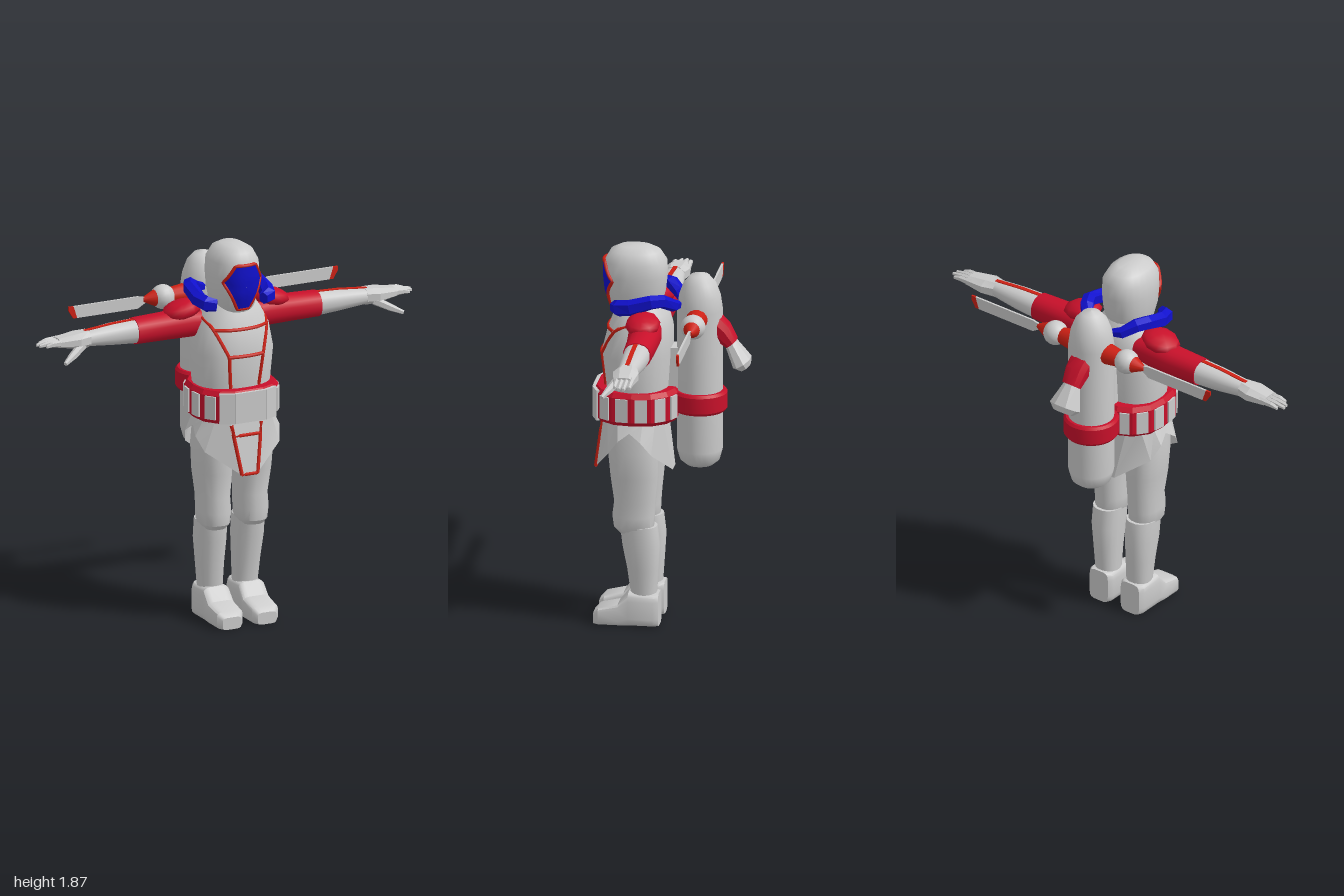
import * as THREE from 'three';
import { toCreasedNormals } from 'three/addons/utils/BufferGeometryUtils.js';

const GREY = 0xcccccc, RED = 0xc8102a, TRIM = 0xcc2014, BLUE = 0x1010cc;
const V = (x, y, z) => new THREE.Vector3(x, y, z);
const X = V(1, 0, 0), Y = V(0, 1, 0), Z = V(0, 0, 1);

// Skin through rings of points (counter-clockwise seen from the far end)
function loft(rings, { caps = true, crease = 0.6 } = {}) {
  const out = [];
  const tri = (...p) => p.forEach((v) => out.push(v.x, v.y, v.z));
  const n = rings[0].length;
  for (let i = 0; i < rings.length - 1; i++) {
    for (let j = 0; j < n; j++) {
      const k = (j + 1) % n, a = rings[i], b = rings[i + 1];
      tri(a[j], a[k], b[k]);
      tri(a[j], b[k], b[j]);
    }
  }
  if (caps) [rings[0], rings[rings.length - 1]].forEach((r, end) => {
    const c = r.reduce((s, p) => s.add(p), V(0, 0, 0)).divideScalar(n);
    r.forEach((p, j) => (end ? tri(c, p, r[(j + 1) % n]) : tri(c, r[(j + 1) % n], p)));
  });
  const g = new THREE.BufferGeometry();
  g.setAttribute('position', new THREE.Float32BufferAttribute(out, 3));
  return toCreasedNormals(g, crease);
}

// Sweep superellipse sections [x, y, z, sideRadius, upRadius]
function sweep(secs, up, { axis, n = 16, p = 2.3, ...rest } = {}) {
  const pos = secs.map((s) => V(s[0], s[1], s[2]));
  const pw = (t) => Math.sign(t) * Math.abs(t) ** (2 / p);
  return loft(secs.map((s, i) => {
    const t = axis || pos[Math.min(i + 1, pos.length - 1)].clone().sub(pos[Math.max(i - 1, 0)]).normalize();
    const u = up.clone().cross(t).normalize(), v = t.clone().cross(u);
    return Array.from({ length: n }, (_, j) => {
      const a = ((j + 0.5) / n) * Math.PI * 2;
      return pos[i].clone().addScaledVector(u, pw(Math.cos(a)) * s[3]).addScaledVector(v, pw(Math.sin(a)) * s[4]);
    });
  }), rest);
}

// Depth of the front surface of an upright body at (x, y)
function frontZ(secs, x, y, p = 2.3) {
  let i = 0;
  while (i < secs.length - 2 && secs[i + 1][1] < y) i++;
  const t = (y - secs[i][1]) / (secs[i + 1][1] - secs[i][1]);
  const [, , cz, rx, rz] = secs[i].map((a, k) => a + (secs[i + 1][k] - a) * t);
  return cz + rz * Math.max(0, 1 - Math.min(1, Math.abs(x) / rx) ** p) ** (1 / p);
}

// Points along straight edges of a polyline
function divide(pts, n, closed) {
  const out = [], m = closed ? pts.length : pts.length - 1;
  for (let i = 0; i < m; i++) {
    const a = pts[i], b = pts[(i + 1) % pts.length];
    for (let k = 0; k < n; k++) out.push(a.map((v, c) => v + ((b[c] - v) * k) / n));
  }
  if (!closed) out.push(pts[m]);
  return out;
}

function mirrored(geo) {
  const g = geo.index ? geo.toNonIndexed() : geo.clone();
  g.scale(-1, 1, 1);
  for (const a of Object.values(g.attributes)) {
    const s = a.itemSize, d = a.array;
    for (let i = 0; i < a.count; i += 3) for (let c = 0; c < s; c++) {
      const q = (i + 1) * s + c, r = (i + 2) * s + c;
      [d[q], d[r]] = [d[r], d[q]];
    }
  }
  return g;
}

export function createModel() {
  const root = new THREE.Group();
  root.name = 'figure';
  const add = (name, geo, color = GREY, double = false) => {
    const mat = new THREE.MeshStandardMaterial({ color, side: double ? THREE.DoubleSide : THREE.FrontSide });
    const m = new THREE.Mesh(geo, mat);
    m.name = name;
    root.add(m);
    return m;
  };
  const pair = (name, geo, color, double) => {
    add('left' + name, geo, color, double);
    add('right' + name, mirrored(geo), color, double);
  };
  const tube = (pts, r, closed = false) =>
    new THREE.TubeGeometry(new THREE.CatmullRomCurve3(pts, closed, 'catmullrom', 0.1), pts.length * 2, r, 6, closed);

  // Torso and hooded head
  const torso = [[0, 1.02, 0.17, 0.18, 0.15], [0, 1.2, 0.165, 0.19, 0.155], [0, 1.35, 0.17, 0.2, 0.17],
    [0, 1.47, 0.155, 0.185, 0.155], [0, 1.55, 0.15, 0.145, 0.13], [0, 1.61, 0.155, 0.1, 0.095]];
  add('torso', sweep(torso, Z, { axis: Y, n: 24 }));
  const head = [[0, 1.52, 0.17, 0.085, 0.09], [0, 1.58, 0.175, 0.102, 0.12], [0, 1.65, 0.178, 0.115, 0.142],
    [0, 1.73, 0.178, 0.12, 0.151], [0, 1.8, 0.178, 0.114, 0.15], [0, 1.85, 0.18, 0.088, 0.12], [0, 1.873, 0.18, 0.05, 0.075]];
  add('hood', sweep(head, Z, { axis: Y, n: 24, crease: 0.8 }));

  // Visor panel wrapped on the face, with rim
  const visor = divide([[-0.03, 1.575], [0.03, 1.575], [0.098, 1.715], [0.052, 1.8], [-0.052, 1.8], [-0.098, 1.715]], 4, true);
  const onHead = (x, y, d) => V(x, y, frontZ(head, x, y) + d);
  add('visor', loft([1, 0.75, 0.5, 0.25, 0.01].map((t) =>
    visor.map(([x, y]) => onHead(x * t, 1.69 + (y - 1.69) * t, 0.009))), { caps: false }), BLUE, true);
  add('visorRim', tube(visor.map(([x, y]) => onHead(x, y, 0.004)), 0.009, true), TRIM);

  // Chest trim lines
  const chestTrim = (pts) => tube(divide(pts, 5, false).map(([x, y]) => V(x, y, frontZ(torso, x, y))), 0.009);
  pair('ChestTrim', chestTrim([[0.16, 1.525], [0.09, 1.35], [0.075, 1.19]]), TRIM, true);
  add('upperChestTrim', chestTrim([[-0.138, 1.475], [0.138, 1.475]]), TRIM, true);
  add('middleChestTrim', chestTrim([[-0.09, 1.35], [0.09, 1.35]]), TRIM, true);

  // Collar roll
  pair('Collar', sweep([[0.125, 1.6, 0.265, 0.025, 0.03], [0.165, 1.605, 0.24, 0.035, 0.04], [0.18, 1.615, 0.18, 0.035, 0.04],
    [0.175, 1.645, 0.08, 0.035, 0.035], [0.15, 1.645, 0.03, 0.035, 0.033], [0.1, 1.61, -0.02, 0.03, 0.03],
    [0.05, 1.6, -0.035, 0.02, 0.02]], Y, { n: 6, crease: 0.1 }), BLUE);

  // Belt: faceted red band with grey panels
  const half = [[0.08, 0.37], [0.15, 0.34], [0.205, 0.265], [0.217, 0.17], [0.205, 0.075], [0.15, 0], [0.08, -0.035]];
  const belt = [...half, ...half.slice().reverse().map(([x, z]) => [-x, z])];
  add('belt', loft([[1.025, 0.93], [1.045, 1], [1.165, 1], [1.187, 0.93]].map(([y, s]) =>
    belt.map(([x, z]) => V(x * s, y, 0.17 + (z - 0.17) * s))), { crease: 0.1 }), RED);
  belt.forEach(([x, z], i) => {
    const [x2, z2] = belt[(i + 1) % belt.length];
    const len = Math.hypot(x2 - x, z2 - z);
    const front = (z + z2) / 2 > 0.345;
    const g = new THREE.BoxGeometry(front ? len : len * 0.62, front ? 0.15 : 0.115, 0.016);
    const panel = add('beltPanel', g);
    panel.position.set((x + x2) / 2, 1.105, (z + z2) / 2);
    panel.rotation.y = Math.atan2(-(z2 - z), x2 - x);
  });

  // Pelvis and pointed skirt flaps, open at the sides
  add('pelvis', sweep([[0, 0.84, 0.175, 0.05, 0.08], [0, 0.92, 0.175, 0.15, 0.13], [0, 1.04, 0.175, 0.185, 0.15]], Z, { axis: Y }));
  const around = (q) => {
    const back = q.map(([x, y, z]) => [x, y, 0.36 - z]);
    const right = [q[3], back[2], back[1], back[0]];
    const flip = ([x, y, z]) => [-x, y, z];
    return [...right, ...back.slice(0, 3).map(flip), flip(q[3]), ...[q[2], q[1], q[0]].map(flip), ...q.slice(0, 3)]
      .map((p) => V(...p));
  };
  add('skirt', loft([
    around([[0.042, 0.765, 0.365], [0.2, 0.88, 0.285], [0.225, 0.95, 0.235], [0.21, 0.99, 0.18]]),
    around([[0.085, 1.03, 0.325], [0.15, 1.03, 0.295], [0.185, 1.03, 0.24], [0.195, 1.03, 0.18]]),
  ], { caps: false, crease: 0.4 }), GREY, true);
  pair('FlapTrim', tube([V(0.08, 1.01, 0.33), V(0.042, 0.767, 0.367)], 0.009), TRIM, true);
  add('flapTrimTop', tube([V(-0.07, 0.955, 0.339), V(0.07, 0.955, 0.339)], 0.008), TRIM, true);
  add('flapTrimBottom', tube([V(-0.042, 0.767, 0.366), V(0.042, 0.767, 0.366)], 0.008), TRIM, true);

  // Legs and boots
  pair('Thigh', sweep([[0.1, 0.465, 0.165, 0.06, 0.08], [0.1, 0.49, 0.172, 0.074, 0.097], [0.1, 0.55, 0.175, 0.078, 0.102],
    [0.1, 0.62, 0.168, 0.076, 0.1], [0.105, 0.75, 0.17, 0.088, 0.115], [0.107, 0.88, 0.175, 0.093, 0.122],
    [0.1, 1.0, 0.18, 0.09, 0.125]], Z, { axis: Y }));
  pair('Shin', sweep([[0.093, 0.13, 0.125, 0.058, 0.06], [0.097, 0.28, 0.13, 0.066, 0.075], [0.1, 0.4, 0.138, 0.074, 0.09],
    [0.1, 0.5, 0.15, 0.074, 0.09]], Z, { axis: Y }));
  pair('Boot', sweep([[0.05, 0.056, 0.165], [0.075, 0.072, 0.165], [0.195, 0.072, 0.168], [0.245, 0.073, 0.108],
    [0.34, 0.07, 0.085], [0.365, 0.05, 0.06]].map(([z, w, h]) => [0.094, h / 2, z, w, h / 2]), Y, { axis: Z, p: 5 }));

  // Arms
  pair('UpperArm', sweep([[0.12, 1.485, 0.11, 0.075, 0.06], [0.2, 1.485, 0.105, 0.08, 0.072], [0.33, 1.48, 0.1, 0.073, 0.067],
    [0.49, 1.478, 0.1, 0.068, 0.064]], Y, { axis: X }), RED);
  pair('Forearm', sweep([[0.47, 1.478, 0.1, 0.064, 0.06], [0.6, 1.48, 0.1, 0.06, 0.053], [0.76, 1.48, 0.105, 0.046, 0.037]], Y, { axis: X }));
  pair('ArmStripe', sweep([[0.48, 1.534, 0.105, 0.014, 0.008], [0.6, 1.53, 0.105, 0.014, 0.008],
    [0.755, 1.515, 0.105, 0.014, 0.008]], Y, { n: 4 }), TRIM);
  const pad = new THREE.SphereGeometry(1, 10, 6).scale(0.1, 0.045, 0.085).rotateZ(-0.2).translate(0.235, 1.553, 0.11);
  pair('ShoulderPad', pad, RED);

  // Hands: palm, four fingers and thumb
  pair('Palm', sweep([[0.74, 1.48, 0.105, 0.05, 0.043], [0.8, 1.48, 0.105, 0.067, 0.04], [0.9, 1.48, 0.1, 0.052, 0.024]],
    Y, { axis: X, n: 8, crease: 0.2 }));
  [0.062, 0.086, 0.11, 0.134].forEach((z, i) => {
    const tip = [0.975, 1, 0.995, 0.97][i];
    pair('Finger', sweep([[0.87, 1.482, z, 0.013, 0.019], [0.94, 1.482, z, 0.012, 0.014], [tip, 1.475, z, 0.008, 0.008]],
      Y, { axis: X, n: 6, crease: 0.2 }));
  });
  pair('Thumb', sweep([[0.78, 1.46, 0.14, 0.022, 0.022], [0.85, 1.425, 0.175, 0.02, 0.018], [0.905, 1.4, 0.205, 0.01, 0.01]],
    Y, { n: 6, crease: 0.2 }));

  // Back tank with ring and mount
  const tank = [[0, 0.785], [0.065, 0.79], [0.095, 0.815], [0.11, 0.87], [0.11, 1.2], [0.11, 1.57], [0.1, 1.64],
    [0.078, 1.7], [0.045, 1.738], [0, 1.75]].map(([r, y]) => new THREE.Vector2(r, y));
  add('tank', new THREE.LatheGeometry(tank, 28).translate(0, 0, -0.13));
  const ring = [[0.1, 1.065], [0.123, 1.065], [0.133, 1.078], [0.133, 1.155], [0.123, 1.168], [0.1, 1.168]]
    .map(([r, y]) => new THREE.Vector2(r, y));
  add('tankRing', toCreasedNormals(new THREE.LatheGeometry(ring, 28), 0.5).translate(0, 0, -0.13), RED);
  add('tankMount', new THREE.BoxGeometry(0.1, 0.2, 0.1).translate(0, 1.28, -0.01));

  // Side rotors: stub, ball hub, red cone and upright blade
  const rod = (r1, r2, len, x) => new THREE.CylinderGeometry(r1, r2, len, 14).rotateZ(-Math.PI / 2).translate(x, 1.545, -0.13);
  pair('RotorStub', rod(0.04, 0.055, 0.1, 0.13), TRIM);
  pair('RotorHub', new THREE.SphereGeometry(0.06, 18, 12).translate(0.215, 1.545, -0.13));
  pair('RotorCone', rod(0.012, 0.04, 0.06, 0.29), TRIM);
  const plate = (pts) => new THREE.ExtrudeGeometry(new THREE.Shape(pts.map((p) => new THREE.Vector2(...p))),
    { depth: 0.01, bevelEnabled: false }).translate(0, 0, -0.135);
  pair('Blade', plate([[0.3, 1.535], [0.35, 1.505], [0.675, 1.505], [0.695, 1.565], [0.35, 1.565], [0.3, 1.555]]));
  pair('BladeTip', plate([[0.675, 1.505], [0.695, 1.505], [0.72, 1.545], [0.72, 1.565], [0.695, 1.565]]), TRIM);

  // Rear exhaust: red elbow and faceted flared nozzle
  add('exhaustElbow', sweep([[0, 1.5, -0.19, 0.065, 0.065], [0, 1.46, -0.24, 0.06, 0.055], [0, 1.405, -0.285, 0.05, 0.035]],
    Z, { n: 10 }), RED);
  add('exhaustNozzle', sweep([[0, 1.415, -0.275, 0.04, 0.03], [0, 1.31, -0.335, 0.085, 0.05], [0, 1.285, -0.35, 0.055, 0.03]],
    Z, { n: 8, p: 2, crease: 0.1 }));
  return root;
}
